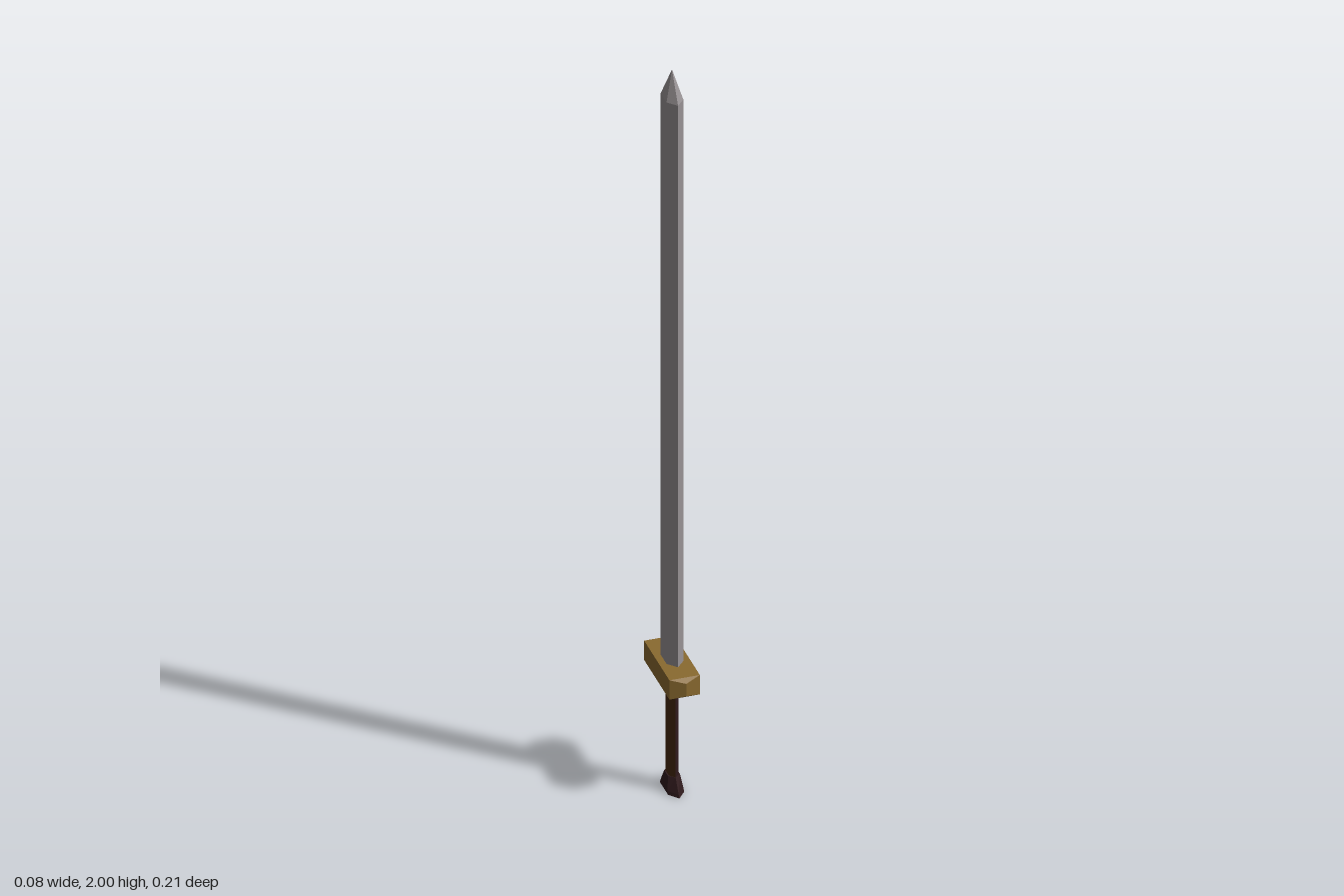
import * as THREE from 'three';

const mat = (name, color) => {
  const m = new THREE.MeshStandardMaterial({ color, flatShading: true });
  m.name = name;
  return m;
};

// Builds a faceted mesh from triangles given as lists of Vector3
function facets(name, tris, material) {
  const g = new THREE.BufferGeometry().setFromPoints(tris.flat());
  g.computeVertexNormals();
  const mesh = new THREE.Mesh(g, material);
  mesh.name = name;
  return mesh;
}

const quad = (a, b, c, d) => [[a, b, c], [a, c, d]];

// Six-sided ring: flat half width x, flat half depth z, edge half depth e
const ring = ([y, x, z, e]) =>
  [[0, e], [x, z], [x, -z], [0, -e], [-x, -z], [-x, z]].map(p => new THREE.Vector3(p[0], y, p[1]));

// Side k of the loft runs from corner k to corner k + 1
function loftSides(sections, sides) {
  const rings = sections.map(ring), tris = [];
  for (let i = 0; i < rings.length - 1; i++)
    for (const k of sides) {
      const n = (k + 1) % 6;
      tris.push(...quad(rings[i][k], rings[i][n], rings[i + 1][n], rings[i + 1][k]));
    }
  return tris;
}

function cap(section, up) {
  const r = ring(section), tris = [];
  for (let k = 1; k < 5; k++) tris.push(up ? [r[0], r[k], r[k + 1]] : [r[0], r[k + 1], r[k]]);
  return tris;
}

export function createModel() {
  const steel = mat('steel', 0x989294);
  const brass = mat('brass', 0x8a6a30);
  const leather = mat('darkLeather', 0x2f1a1c);
  const wood = mat('brownLeather', 0x46290e);
  const all = [0, 1, 2, 3, 4, 5];
  const sword = new THREE.Group();
  sword.name = 'sword';

  // Blade with a pointed tip
  const base = [0.35, 0.021, 0.022, 0.045], shoulder = [1.925, 0.021, 0.022, 0.045];
  const tip = new THREE.Vector3(0, 2, 0), top = ring(shoulder);
  sword.add(facets('blade', [...loftSides([base, shoulder], all), ...cap(base, false)], steel));
  sword.add(facets('bladeTip', all.map(k => [top[k], top[(k + 1) % 6], tip]), steel));

  // Crossguard: a bar whose ends narrow to a short upright ridge
  const v = (x, y, z) => new THREE.Vector3(x, y, z);
  const x = 0.038, z = 0.094, e = 0.107, y0 = 0.306, y1 = 0.36, r0 = 0.316, r1 = 0.35;
  const guard = [
    ...quad(v(-x, y1, z), v(x, y1, z), v(x, y1, -z), v(-x, y1, -z)),
    ...quad(v(-x, y0, -z), v(x, y0, -z), v(x, y0, z), v(-x, y0, z)),
  ];
  for (const s of [1, -1]) {
    const p = (a, b, c) => v(s * a, b, s * c);
    guard.push(
      ...quad(p(x, y0, z), p(x, y0, -z), p(x, y1, -z), p(x, y1, z)),
      ...quad(p(0, r0, e), p(x, y0, z), p(x, y1, z), p(0, r1, e)),
      ...quad(p(-x, y0, z), p(0, r0, e), p(0, r1, e), p(-x, y1, z)),
      [p(-x, y1, z), p(0, r1, e), p(x, y1, z)],
      [p(x, y0, z), p(0, r0, e), p(-x, y0, z)],
    );
  }
  sword.add(facets('crossguard', guard, brass));

  // Grip, with lighter leather on one side
  const grip = [[0.04, 0.012, 0.013, 0.026], [0.31, 0.012, 0.013, 0.026]];
  sword.add(facets('grip', loftSides(grip, [0, 1, 2, 3]), leather));
  sword.add(facets('gripSide', loftSides(grip, [4, 5]), wood));

  // Flared pommel
  const foot = [0, 0.02, 0.03, 0.055], neck = [0.042, 0.015, 0.014, 0.027];
  sword.add(facets('pommel',
    [...loftSides([foot, [0.008, 0.02, 0.027, 0.05], neck], all), ...cap(foot, false), ...cap(neck, true)], leather));

  return sword;
}
